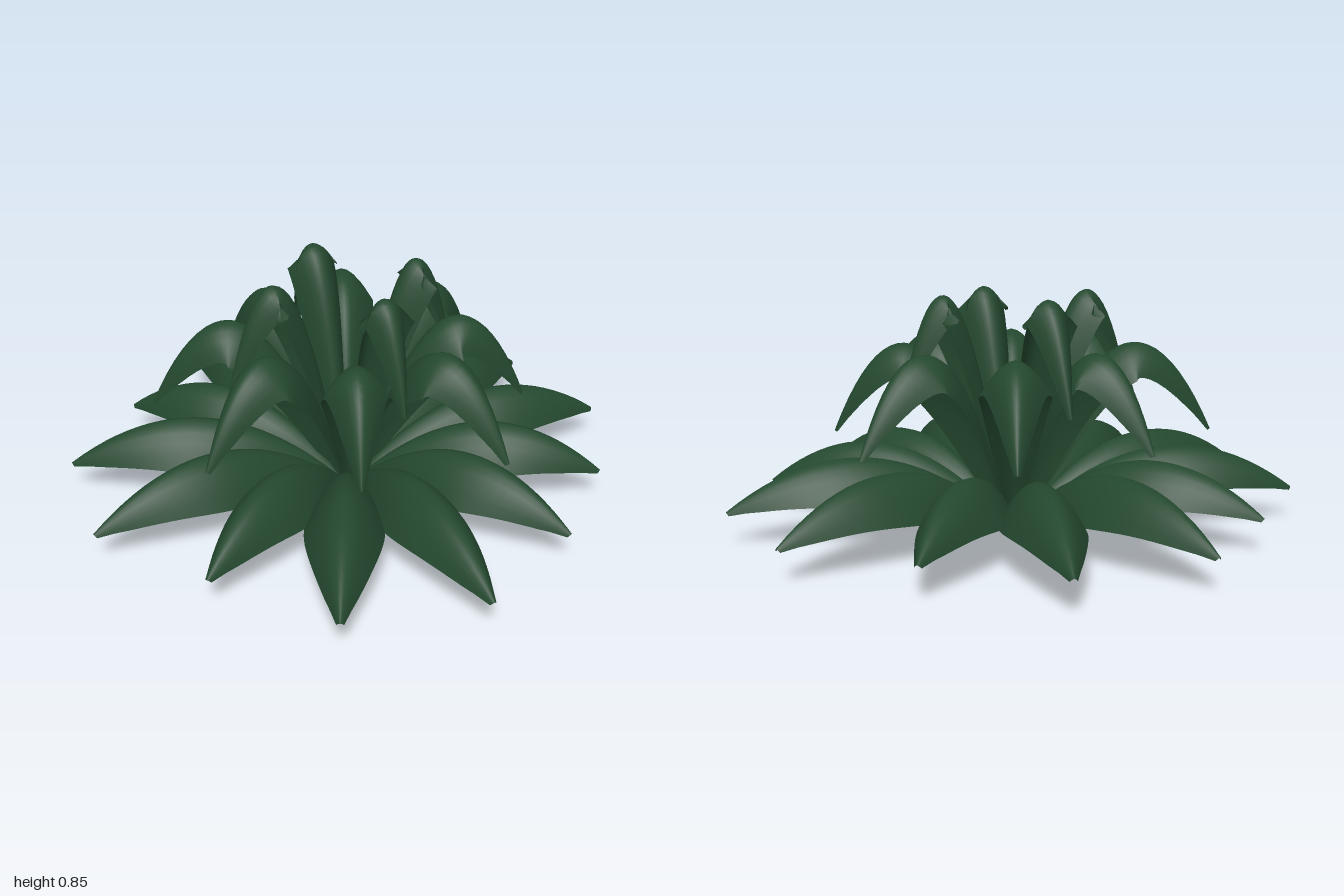
import * as THREE from 'three';

const leafGreen = new THREE.MeshStandardMaterial({ color: 0x24482f, side: THREE.DoubleSide });
leafGreen.name = 'leaf green';

const BASE = 0.03; // radius of the small hole in the middle

// One arching leaf along +x: a sheet bent over a parabolic rib, with its sides curled down.
function leafGeometry({ reach, rise, fall, halfWidth, depth }) {
  const geometry = new THREE.PlaneGeometry(1, 1, 24, 10);
  const p = geometry.attributes.position;
  const run = reach - BASE;
  for (let i = 0; i < p.count; i++) {
    const t = p.getX(i) + 0.5;
    const s = p.getY(i) * 2;
    const fullness = Math.max(Math.pow(Math.sin(Math.PI * Math.min(t, 0.9999)), 0.7), 0.09);
    // rib point and its upward normal
    const x = BASE + run * t;
    const y = rise * t - fall * t * t;
    const slope = (rise - 2 * fall * t) / run;
    const n = Math.hypot(1, slope);
    const curl = depth * fullness * Math.pow(Math.abs(s), 1.8) * Math.min(1, t * 12);
    p.setXYZ(i, x + curl * slope / n, y - curl / n, -s * halfWidth * fullness);
  }
  geometry.computeVertexNormals();
  return geometry;
}

// Whorls of leaves from the ground up; every third leaf is a little shorter.
const whorls = [
  { name: 'outerLeaf', count: 13, start: 27.7, long: 1.035, short: 0.937, rise: 1.0, fall: 0.88, halfWidth: 0.138, depth: 0.155 },
  { name: 'middleLeaf', count: 8, start: 78, long: 0.72, short: 0.65, rise: 2.265, fall: 1.915, halfWidth: 0.122, depth: 0.125 },
  { name: 'innerLeaf', count: 4, start: 55, long: 0.472, short: 0.43, rise: 2.84, fall: 2.37, halfWidth: 0.095, depth: 0.1 },
];

export function createModel() {
  const plant = new THREE.Group();
  plant.name = 'leafRosette';
  for (const w of whorls) {
    const whorl = new THREE.Group();
    whorl.name = w.name + 'Whorl';
    const longLeaf = leafGeometry({ ...w, reach: w.long });
    const shortLeaf = leafGeometry({ ...w, reach: w.short });
    for (let i = 0; i < w.count; i++) {
      const leaf = new THREE.Mesh(i % 3 === 0 ? shortLeaf : longLeaf, leafGreen);
      leaf.name = w.name;
      leaf.rotation.y = -THREE.MathUtils.degToRad(w.start + (i * 360) / w.count);
      whorl.add(leaf);
    }
    plant.add(whorl);
  }
  plant.position.set(0.03, 0, -0.035);
  const model = new THREE.Group();
  model.name = 'plant';
  model.add(plant);
  return model;
}
